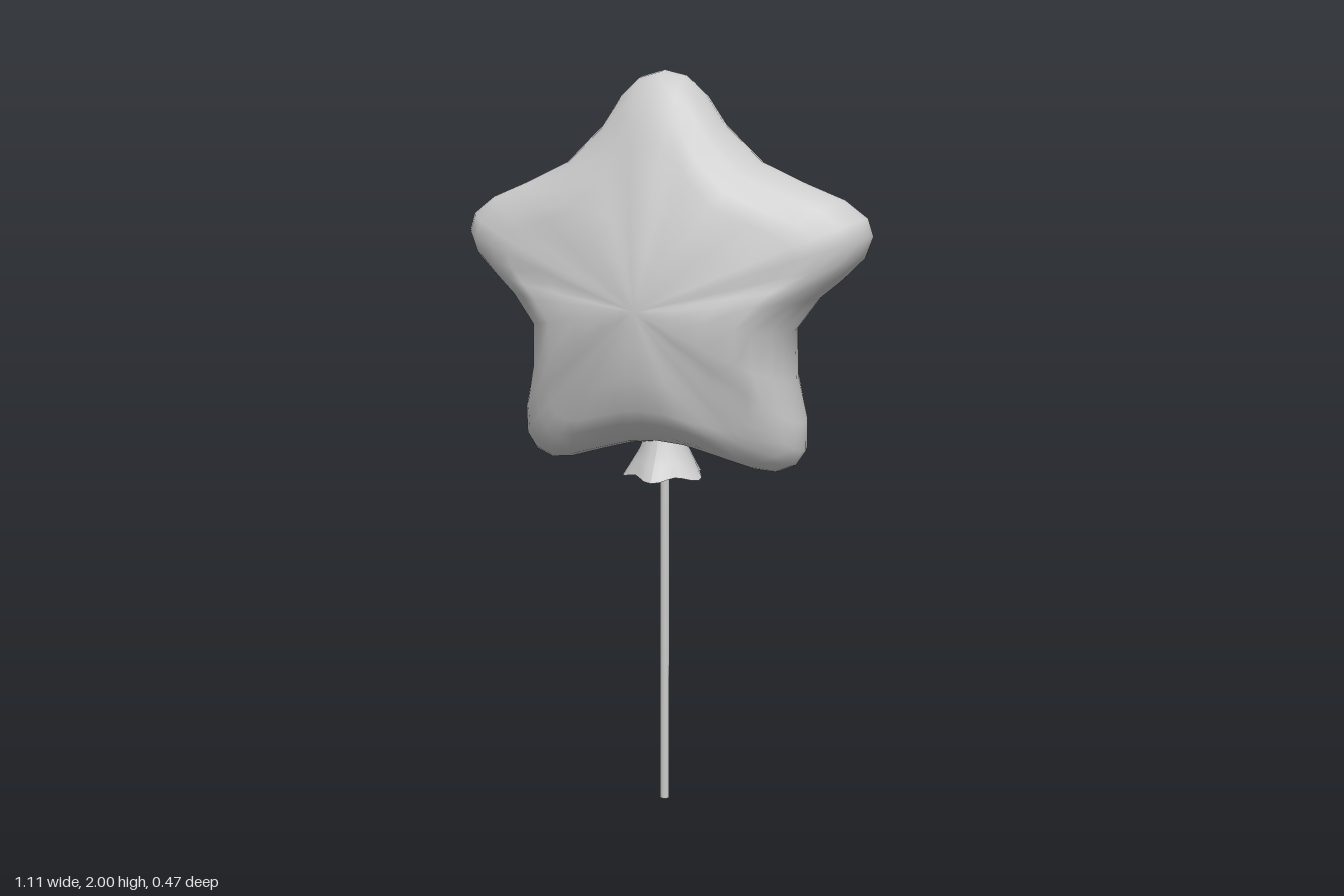
import * as THREE from 'three';

const V2 = (p) => new THREE.Vector2(...p);
const CENTRE_Y = 1.4;

// Right half of the star outline, top tip to bottom notch
const HALF = [
  [0, 2.0], [0.06, 1.985], [0.11, 1.94], [0.16, 1.865], [0.26, 1.77], [0.38, 1.715],
  [0.48, 1.675], [0.54, 1.63], [0.555, 1.585], [0.535, 1.53], [0.48, 1.475], [0.42, 1.425],
  [0.357, 1.34], [0.362, 1.21], [0.39, 1.1], [0.391, 1.025], [0.365, 0.985], [0.32, 0.965],
  [0.26, 0.97], [0.16, 1.0], [0.08, 1.022], [0, 1.03],
];

// Rings from rim to middle: [share of radius, depth along a tip, depth along a notch]
const RINGS = [
  [1, 0, 0], [0.99, 0.03, 0.04], [0.965, 0.055, 0.08], [0.91, 0.088, 0.125], [0.8, 0.122, 0.172],
  [0.7, 0.143, 0.197], [0.47, 0.186, 0.221], [0.25, 0.219, 0.231], [0.1, 0.232, 0.235],
];

function starGeometry() {
  const mirrored = HALF.slice(1, -1).reverse().map(([x, y]) => [-x, y]);
  const outline = [...HALF, ...mirrored];
  const n = outline.length;
  const positions = [];
  const index = [];

  // Stack rings from the front middle, over the rim, to the back middle
  const stack = [
    ...RINGS.slice().reverse().map((r) => [...r, 1]),
    ...RINGS.slice(1).map((r) => [...r, -1]),
  ];
  for (const [s, tipDepth, notchDepth, side] of stack) {
    for (const [x, y] of outline) {
      const radius = Math.hypot(x, y - CENTRE_Y);
      const notch = 1 - THREE.MathUtils.smoothstep(radius, 0.36, 0.57);
      const z = side * THREE.MathUtils.lerp(tipDepth, notchDepth, notch);
      positions.push(x * s, CENTRE_Y + (y - CENTRE_Y) * s, z);
    }
  }
  const front = positions.length / 3;
  const back = front + 1;
  positions.push(0, CENTRE_Y, 0.236, 0, CENTRE_Y, -0.236);

  const last = (stack.length - 1) * n;
  for (let i = 0; i < n; i++) {
    const j = (i + 1) % n;
    index.push(front, j, i);
    index.push(back, last + i, last + j);
    for (let k = 0; k < stack.length - 1; k++) {
      const a = k * n, b = a + n;
      index.push(a + i, a + j, b + i, a + j, b + j, b + i);
    }
  }
  const geometry = new THREE.BufferGeometry();
  geometry.setAttribute('position', new THREE.Float32BufferAttribute(positions, 3));
  geometry.setIndex(index);
  geometry.computeVertexNormals();
  return geometry;
}

// Open flared neck with a rippled hem
function neckGeometry() {
  const profile = [[0.105, 0.938], [0.085, 0.975], [0.066, 1.01], [0.05, 1.06]].map(V2);
  const geometry = new THREE.LatheGeometry(profile, 30);
  const p = geometry.attributes.position;
  for (let i = 0; i < p.count; i++) {
    const x = p.getX(i), y = p.getY(i), z = p.getZ(i);
    const flare = THREE.MathUtils.clamp((1.03 - y) / 0.092, 0, 1);
    const ripple = Math.cos(5 * Math.atan2(x, z)) * flare;
    const k = 1 + 0.09 * ripple;
    p.setXYZ(i, x * k, y - 0.006 * ripple, z * k);
  }
  geometry.computeVertexNormals();
  return geometry;
}

export function createModel() {
  const model = new THREE.Group();
  model.name = 'starBalloonOnStick';
  const grey = new THREE.MeshStandardMaterial({ color: 0xcccccc });
  const thin = new THREE.MeshStandardMaterial({ color: 0xcccccc, side: THREE.DoubleSide });

  const add = (name, geometry, material) => {
    const mesh = new THREE.Mesh(geometry, material);
    mesh.name = name;
    model.add(mesh);
    return mesh;
  };

  add('starBalloon', starGeometry(), grey);
  add('balloonNeck', neckGeometry(), thin);
  add('stick', new THREE.CylinderGeometry(0.013, 0.013, 1.03, 12), grey).position.y = 0.515;
  return model;
}
